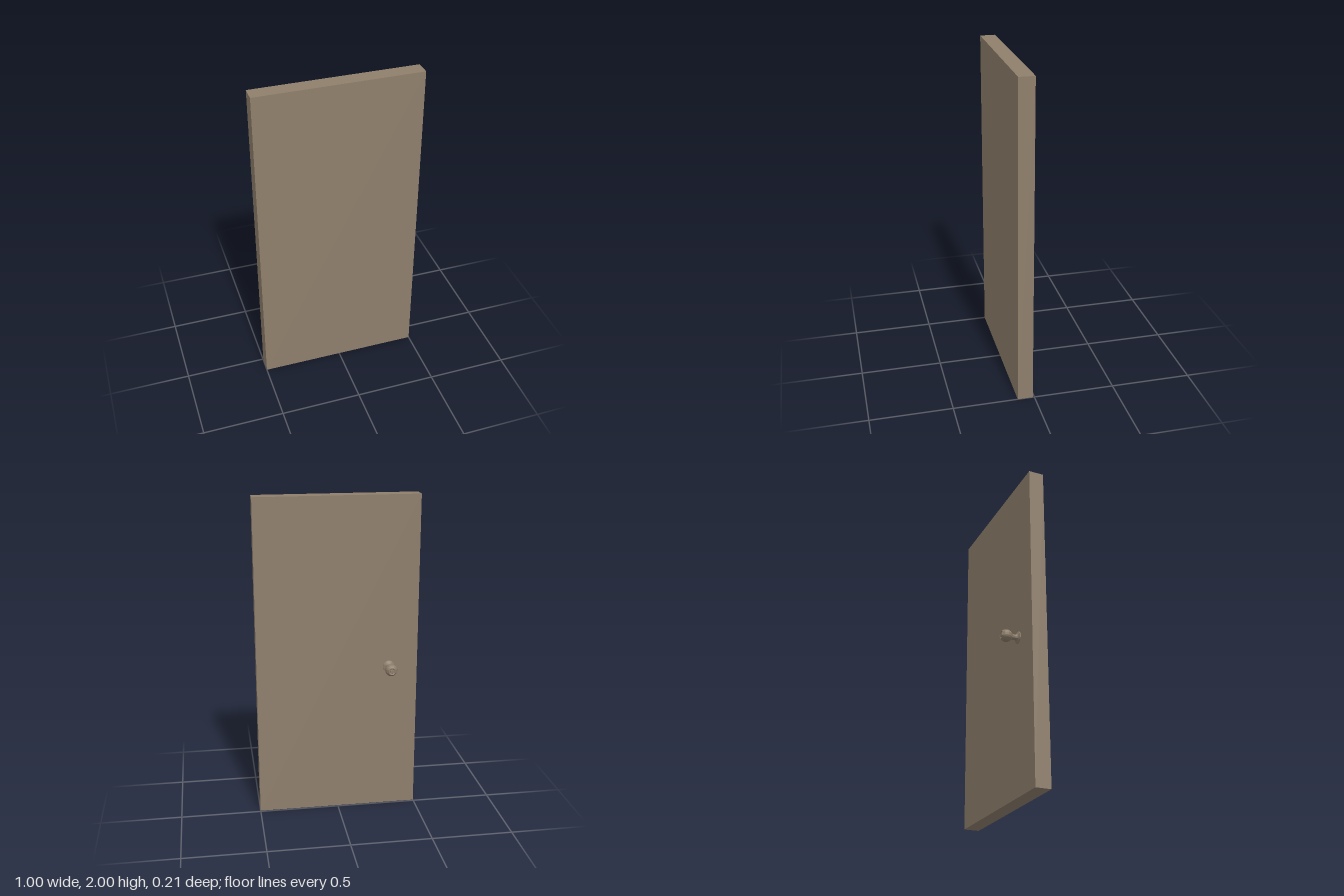
import * as THREE from 'three';
import { toCreasedNormals } from 'three/addons/utils/BufferGeometryUtils.js';

export function createModel() {
  const model = new THREE.Group();
  model.name = 'door';
  const material = new THREE.MeshStandardMaterial({ color: 0x8f7f6c });
  const back = 0.01; // z of the door's back face

  // Door slab
  const slab = new THREE.Mesh(new THREE.BoxGeometry(1, 2, 0.094), material);
  slab.name = 'doorPanel';
  slab.position.set(0, 1, back + 0.047);
  model.add(slab);

  // Turned part: profile of [radius, distance out from the door]
  const turned = (name, profile) => {
    const points = profile.map(([r, h]) => new THREE.Vector2(r, h));
    const geometry = toCreasedNormals(new THREE.LatheGeometry(points, 40), 0.6);
    geometry.rotateX(-Math.PI / 2);
    const mesh = new THREE.Mesh(geometry, material);
    mesh.name = name;
    return mesh;
  };

  const knob = new THREE.Group();
  knob.name = 'knob';
  knob.position.set(-0.32, 0.94, back);

  // Rosette against the door, sweeping into the neck
  knob.add(turned('rosetteAndNeck', [
    [0, 0], [0.022, 0], [0.022, 0.004], [0.036, 0.004], [0.037, 0.006], [0.036, 0.009],
    [0.029, 0.012], [0.023, 0.014], [0.019, 0.018], [0.0165, 0.025],
    [0.016, 0.032], [0.0165, 0.039], [0.019, 0.045], [0.02, 0.048],
  ]));

  // Ball grip, with a shallow recess and a button at its end
  const ball = [];
  for (let i = 0; i <= 20; i++) {
    const a = THREE.MathUtils.lerp(-1.05, 0.87, i / 20);
    ball.push([0.037 * Math.cos(a), 0.081 + 0.037 * Math.sin(a)]);
  }
  knob.add(turned('grip', [
    ...ball, [0.022, 0.112], [0.019, 0.111], [0.013, 0.108],
    [0.013, 0.113], [0.011, 0.114], [0, 0.114],
  ]));

  model.add(knob);
  return model;
}
